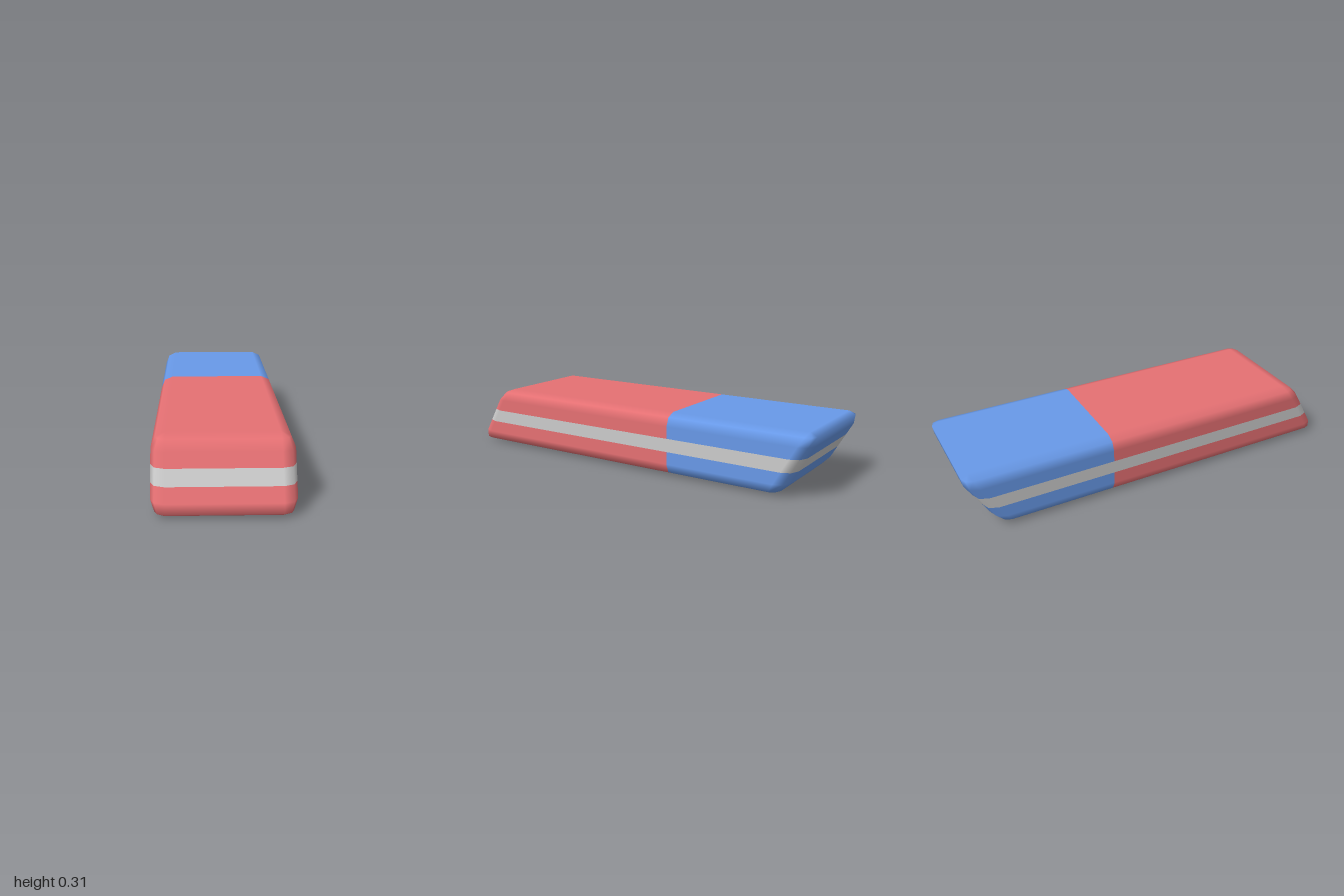
import * as THREE from 'three';

const HX = 0.3125, HY = 0.157, HZ = 0.939; // half sizes before slanting
const R = 0.0625;                          // edge rounding
const SLANT = 0.577;                       // z shift per unit of height
const SPLIT = -0.26;                       // seam between the two colours
const STRIPE = [0.125, 0.192];

// Height levels [y, latitude] of the rounded lower and upper edges
const lats = [0, Math.PI / 4, Math.PI / 2];
const upperEdge = lats.map(t => [2 * HY - R + R * Math.sin(t), t]);
const lowerEdge = lats.map(t => [R - R * Math.sin(t), -t]).reverse();

// Half outline as [centre x, centre z, angle, onSeam]; s = 1 front, -1 back
function outline(s) {
  const cx = HX - R, cz = HZ - R, turn = s > 0 ? 0 : Math.PI;
  const pts = [[-cx * s, 0, turn - Math.PI / 2, true]];
  for (const side of [-1, 1]) {
    for (let i = 0; i < 3; i++) {
      const a = (side < 0 ? -Math.PI / 2 : 0) + i * Math.PI / 4;
      pts.push([side * cx * s, cz * s, turn + a, false]);
    }
  }
  pts.push([cx * s, 0, turn + Math.PI / 2, true]);
  return pts;
}

// Skin one half between the given levels, closing the flat top or bottom
function band(s, levels) {
  const path = outline(s), n = path.length, pos = [], nor = [], idx = [];
  for (const [y, lat] of levels) {
    const c = Math.cos(lat), shift = -SLANT * (y - HY);
    for (const [x, z, a, onSeam] of path) {
      const nx = c * Math.sin(a), nz = c * Math.cos(a);
      pos.push(x + R * nx, y, onSeam ? SPLIT : z + R * nz + shift);
      const v = new THREE.Vector3(nx, Math.sin(lat) + SLANT * nz, nz).normalize();
      nor.push(v.x, v.y, v.z);
    }
  }
  for (let j = 0; j < levels.length - 1; j++) {
    for (let i = 0; i < n - 1; i++) {
      const a = j * n + i, b = a + 1;
      idx.push(a, b, b + n, a, b + n, a + n);
    }
  }
  const last = (levels.length - 1) * n;
  if (levels[0][1] < 0) idx.push(0, n - 2, 1, 0, n - 1, n - 2);
  if (levels.at(-1)[1] > 0) idx.push(last, last + 1, last + n - 2, last, last + n - 2, last + n - 1);

  const g = new THREE.BufferGeometry();
  g.setAttribute('position', new THREE.Float32BufferAttribute(pos, 3));
  g.setAttribute('normal', new THREE.Float32BufferAttribute(nor, 3));
  g.setIndex(idx);
  return g;
}

export function createModel() {
  const group = new THREE.Group();
  group.name = 'eraser';
  const red = new THREE.MeshStandardMaterial({ color: 0xe57073 });
  const blue = new THREE.MeshStandardMaterial({ color: 0x6899e8 });
  const white = new THREE.MeshStandardMaterial({ color: 0xe6e6e9 });
  const add = (name, geometry, material) => {
    const mesh = new THREE.Mesh(geometry, material);
    mesh.name = name;
    group.add(mesh);
  };

  const [lo, hi] = STRIPE;
  for (const [s, name, color] of [[1, 'front', red], [-1, 'back', blue]]) {
    add(name + 'LowerBody', band(s, [...lowerEdge, [lo, 0]]), color);
    add(name + 'Stripe', band(s, [[lo, 0], [hi, 0]]), white);
    add(name + 'UpperBody', band(s, [[hi, 0], ...upperEdge]), color);
  }
  return group;
}
